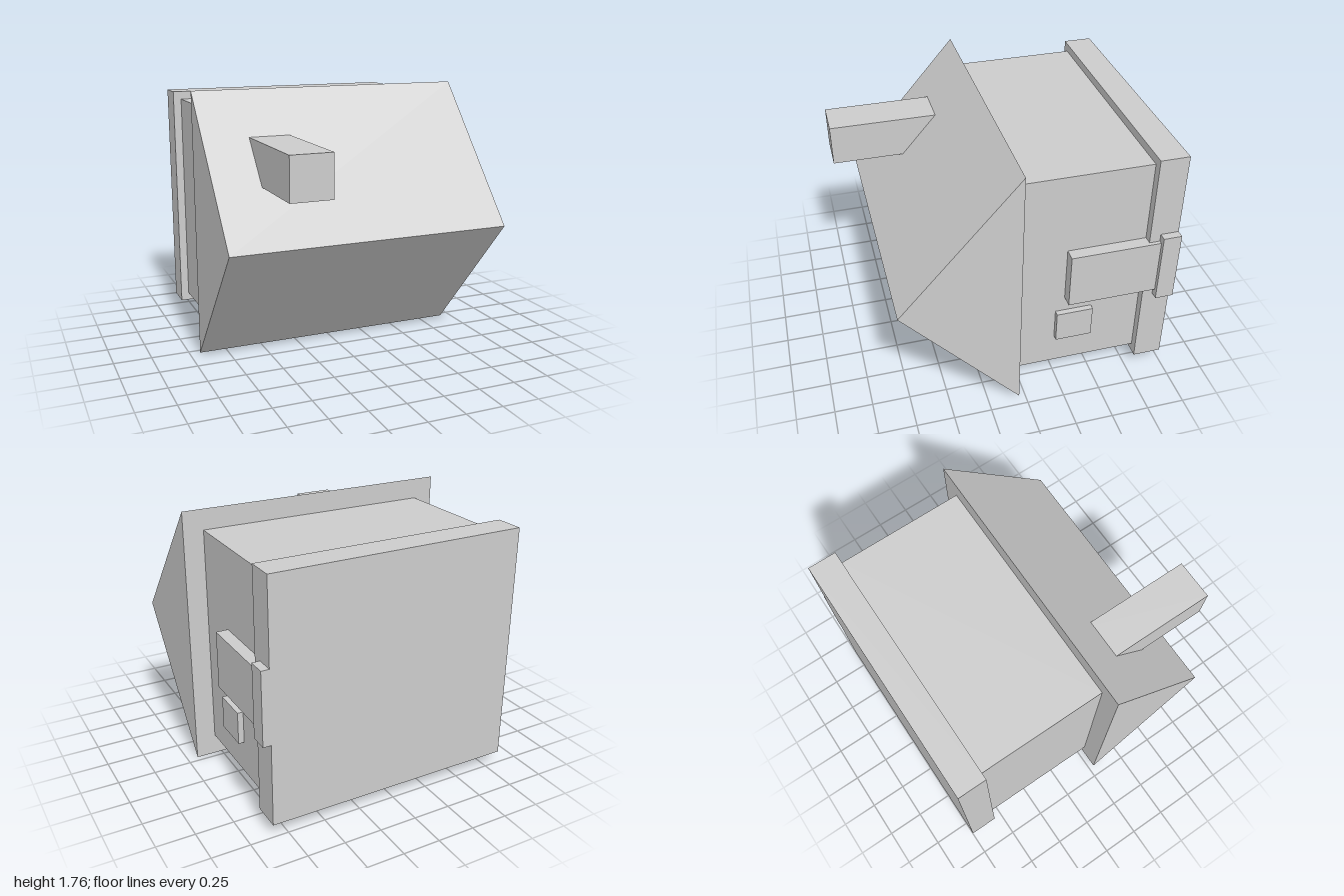
import * as THREE from 'three';

export function createModel() {
  const house = new THREE.Group();
  house.name = 'house';
  const plaster = new THREE.MeshStandardMaterial({ color: 0xcccccc });
  plaster.name = 'light grey';

  const add = (name, geometry) => {
    const mesh = new THREE.Mesh(geometry, plaster);
    mesh.name = name;
    house.add(mesh);
  };

  // Box given by its extents on each axis
  const box = (name, [x0, x1], [y0, y1], [z0, z1]) => {
    const geometry = new THREE.BoxGeometry(x1 - x0, y1 - y0, z1 - z0);
    geometry.translate((x0 + x1) / 2, (y0 + y1) / 2, (z0 + z1) / 2);
    add(name, geometry);
  };

  // The house lies on its side: foundation at -z, roof ridge at +z
  box('foundation', [-0.85, 0.85], [0.085, 1.675], [-1, -0.81]);
  box('walls', [-0.795, 0.795], [0.14, 1.62], [-0.81, 0.04]);

  // Gabled roof, a triangle extruded along x
  const gable = new THREE.Shape([
    new THREE.Vector2(-0.04, 0),
    new THREE.Vector2(-0.04, 1.757),
    new THREE.Vector2(-0.81, 0.88),
  ]);
  const roof = new THREE.ExtrudeGeometry(gable, { depth: 1.86, bevelEnabled: false });
  roof.translate(0, 0, -0.93);
  roof.rotateY(Math.PI / 2); // shape x becomes -z
  add('roof', roof);

  // Chimney, its inner end buried in the roof
  box('chimney', [-0.63, -0.36], [1.207, 1.48], [0.2, 1]);

  // Door, doorstep and window on the +x wall
  box('door', [0.785, 0.875], [0.69, 1.07], [-0.88, -0.29]);
  box('doorstep', [0.84, 0.902], [0.637, 1.122], [-1, -0.88]);
  box('window', [0.785, 0.833], [0.36, 0.58], [-0.477, -0.233]);

  return house;
}
